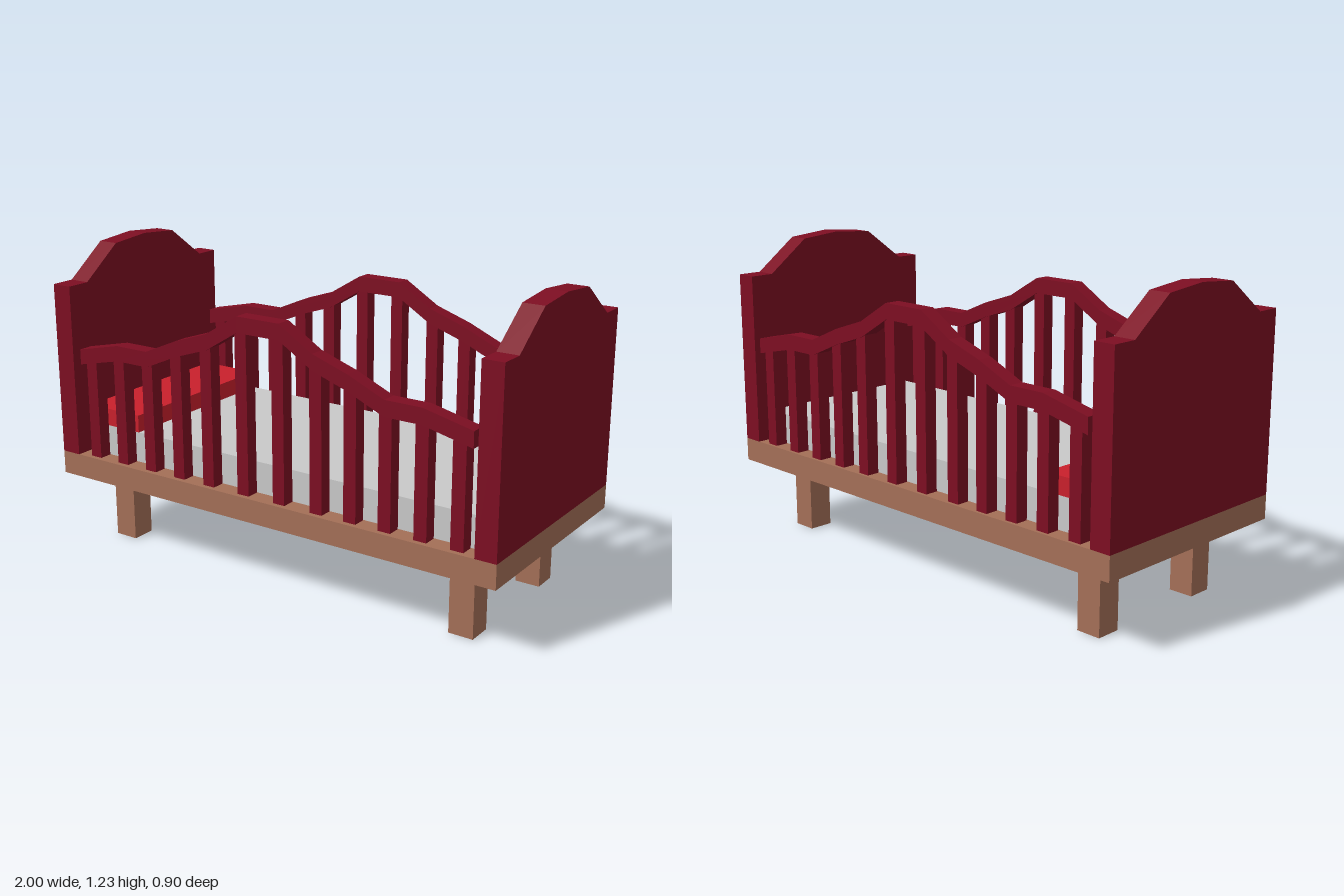
import * as THREE from 'three';

const mat = (name, color) => {
  const m = new THREE.MeshStandardMaterial({ color });
  m.name = name;
  return m;
};

export function createModel() {
  const bed = new THREE.Group();
  bed.name = 'bed';
  const maroon = mat('maroon paint', 0x7d0e22);
  const wood = mat('brown wood', 0xa46f57);
  const grey = mat('grey fabric', 0xc9c9c9);
  const red = mat('red fabric', 0xc9202c);

  const add = (name, geometry, material, parent = bed) => {
    const mesh = new THREE.Mesh(geometry, material);
    mesh.name = name;
    parent.add(mesh);
    return mesh;
  };
  // box given by its lower and upper corners
  const box = (name, x0, x1, y0, y1, z0, z1, material, parent) =>
    add(name, new THREE.BoxGeometry(x1 - x0, y1 - y0, z1 - z0), material, parent)
      .position.set((x0 + x1) / 2, (y0 + y1) / 2, (z0 + z1) / 2);
  const outline = (pts) => new THREE.Shape(pts.map(([x, y]) => new THREE.Vector2(x, y)));
  const extrude = (shape, depth) =>
    new THREE.ExtrudeGeometry(shape, { depth, bevelEnabled: false });
  const rect = (w, d) => [[-w, -d], [w, -d], [w, d], [-w, d]];

  // base frame, open in the middle, with a recessed bottom panel
  const frame = outline(rect(1, 0.45));
  frame.holes.push(outline(rect(0.915, 0.37)));
  const frameGeo = extrude(frame, 0.095);
  frameGeo.rotateX(-Math.PI / 2);
  add('baseFrame', frameGeo, wood).position.y = 0.285;
  box('bottomPanel', -0.915, 0.915, 0.305, 0.379, -0.37, 0.37, maroon);

  // legs
  for (const sx of [-1, 1]) for (const sz of [-1, 1]) {
    box('leg', sx * 0.8 - 0.05, sx * 0.8 + 0.05, 0, 0.306,
      sz * 0.265 - 0.05, sz * 0.265 + 0.05, wood);
  }

  // headboard and footboard with a stepped, arched top
  const board = outline([[-0.45, 0.38], [0.45, 0.38], [0.45, 1.08], [0.35, 1.08],
    [0.175, 1.21], [0, 1.225], [-0.175, 1.21], [-0.35, 1.08], [-0.45, 1.08]]);
  const boardGeo = extrude(board, 0.085);
  boardGeo.rotateY(Math.PI / 2);
  add('headboard', boardGeo, maroon).position.x = -1;
  add('footboard', boardGeo, maroon).position.x = 0.915;

  // mattress and pillow
  box('mattress', -0.915, 0.915, 0.38, 0.505, -0.38, 0.375, grey);
  box('pillow', -0.91, -0.65, 0.505, 0.575, -0.38, 0.375, red);

  // side railings: a wavy top rail over upright slats
  const half = [[0.095, 1.073], [0.24, 0.985], [0.39, 0.935], [0.54, 0.87], [0.69, 0.87], [0.89, 0.825]];
  const top = [...half.map(([x, y]) => [-x, y]).reverse(), ...half];
  const under = top.map(([x, y]) => [x, y - 0.062]).reverse();
  const railGeo = extrude(outline([...top, ...under]), 0.062);
  railGeo.translate(0, 0, -0.031);
  const railHeight = (x) => {
    const i = Math.max(1, top.findIndex((p) => p[0] >= x));
    const [a, b] = [top[i - 1], top[i]];
    return a[1] + (b[1] - a[1]) * (x - a[0]) / (b[0] - a[0]);
  };
  const slats = [0.083, 0.25, 0.397, 0.543, 0.69, 0.836];
  for (const [name, z] of [['frontRailing', 0.404], ['backRailing', -0.411]]) {
    const railing = new THREE.Group();
    railing.name = name;
    railing.position.z = z;
    add('topRail', railGeo, maroon, railing);
    for (const s of slats) for (const x of [-s, s]) {
      box('slat', x - 0.026, x + 0.026, 0.38, railHeight(x) - 0.03, -0.026, 0.026, maroon, railing);
    }
    bed.add(railing);
  }
  return bed;
}
